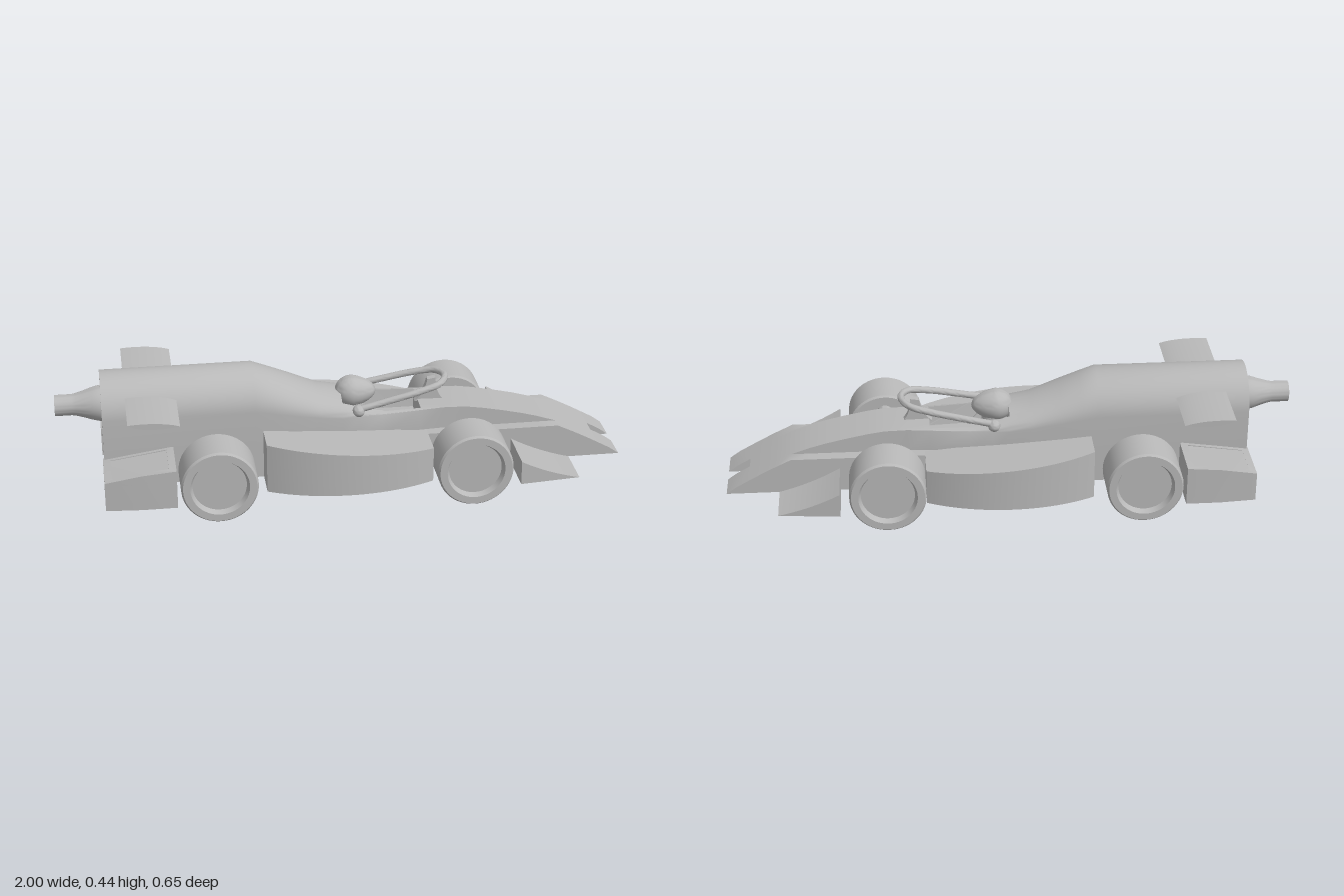
import * as THREE from 'three';
import { toCreasedNormals } from 'three/addons/utils/BufferGeometryUtils.js';

const grey = new THREE.MeshStandardMaterial({ color: 0xb8b8b8 });
grey.name = 'grey';

const HALF = 0.128, FLOOR = 0.06, SHOULDER = 0.187, GROOVE = 0.027, GROOVE_TOP = 0.11;

function add(parent, name, geo, crease = 0.5) {
  const mesh = new THREE.Mesh(toCreasedNormals(geo, crease), grey);
  mesh.name = name;
  parent.add(mesh);
}

// Mirror a geometry across z, swapping two corners to keep faces outward
function mirrored(geo) {
  const g = geo.index ? geo.toNonIndexed() : geo.clone();
  g.scale(1, 1, -1);
  const p = g.attributes.position;
  const a = new THREE.Vector3(), b = new THREE.Vector3();
  for (let i = 0; i < p.count; i += 3) {
    a.fromBufferAttribute(p, i + 1);
    b.fromBufferAttribute(p, i + 2);
    p.setXYZ(i + 1, b.x, b.y, b.z);
    p.setXYZ(i + 2, a.x, a.y, a.z);
  }
  return g;
}

function addPair(parent, name, geo, crease) {
  add(parent, name + 'Left', geo, crease);
  add(parent, name + 'Right', mirrored(geo), crease);
}

const toShape = (pts) => new THREE.Shape(pts.map(([x, y]) => new THREE.Vector2(x, y)));

// Side profile (x, y) pulled along z between an inner and an outer edge
function sideExtrude(shape, inner, outer) {
  const geo = new THREE.ExtrudeGeometry(shape, { depth: 1, bevelEnabled: false, curveSegments: 12 });
  const p = geo.attributes.position;
  for (let i = 0; i < p.count; i++) p.setZ(i, p.getZ(i) > 0.5 ? outer(p.getX(i)) : inner);
  return geo;
}

// Plan outline (x, z) raised between a bottom and a top height rule
function prism(shape, bottom, top) {
  const geo = new THREE.ExtrudeGeometry(shape, { depth: 1, bevelEnabled: false, curveSegments: 24 });
  geo.rotateX(Math.PI / 2); // outline y -> z, depth -> -y
  const p = geo.attributes.position;
  for (let i = 0; i < p.count; i++) p.setY(i, p.getY(i) < -0.5 ? bottom : top(p.getX(i)));
  return geo;
}

// Body cross-section as (z, y), with a channel along the floor
function section([, top, spring, w, cockpit]) {
  const sh = Math.min(SHOULDER, top), n = 24, arc = [];
  for (let i = 0; i <= n; i++) {
    const t = (i / n) * Math.PI, z = w * Math.cos(t);
    const y = spring + (top - spring) * Math.sin(t);
    arc.push([z, cockpit && Math.abs(z) < 0.075 ? 0.2 : y]);
  }
  return [[GROOVE, GROOVE_TOP], [GROOVE, FLOOR], [HALF, FLOOR], [HALF, sh], [w, sh], ...arc,
    [-w, sh], [-HALF, sh], [-HALF, FLOOR], [-GROOVE, FLOOR], [-GROOVE, GROOVE_TOP]];
}

function bodyGeometry(stations) {
  const pos = [], idx = [];
  const rings = stations.map(section), m = rings[0].length;
  rings.forEach((r, i) => r.forEach(([z, y]) => pos.push(stations[i][0], y, z)));
  for (let i = 0; i < rings.length - 1; i++) {
    for (let j = 0; j < m; j++) {
      const k = (j + 1) % m;
      const a = i * m + j, b = a + m, c = (i + 1) * m + k, d = i * m + k;
      idx.push(a, b, c, a, c, d);
    }
  }
  const geo = new THREE.BufferGeometry();
  geo.setAttribute('position', new THREE.Float32BufferAttribute(pos, 3));
  geo.setIndex(idx);
  return geo;
}

export function createModel() {
  const car = new THREE.Group();
  car.name = 'racingCar';
  const body = new THREE.Group();
  body.name = 'body';
  body.position.z = -0.004;
  car.add(body);

  // Main body: x, top, spring line of the arch, upper half width, cockpit cut
  const stations = [
    [-0.84, 0.44, 0.313, HALF], [-0.31, 0.44, 0.313, HALF], [-0.25, 0.416, 0.303, HALF],
    [-0.18, 0.386, 0.29, 0.127], [-0.08, 0.34, 0.272, 0.122], [0, 0.325, 0.262, 0.118],
    [0, 0.325, 0.262, 0.118, true], [0.06, 0.298, 0.262, 0.113, true],
    [0.14, 0.275, 0.262, 0.105, true], [0.28, 0.27, 0.265, 0.092, true],
    [0.28, 0.27, 0.265, 0.092], [0.36, 0.268, 0.267, 0.086], [0.44, 0.265, 0.265, 0.086],
    [0.5, 0.256, 0.256, 0.086], [0.58, 0.24, 0.24, 0.086], [0.65, 0.224, 0.224, 0.086],
    [0.7, 0.21, 0.21, 0.086], [0.77, 0.187, 0.187, 0.086], [0.83, 0.158, 0.158, 0.086],
    [0.88, 0.132, 0.132, 0.086], [0.92, 0.1101, 0.1101, 0.086],
  ];
  add(body, 'bodyShell', bodyGeometry(stations));
  const rear = new THREE.ShapeGeometry(toShape(section(stations[0])));
  rear.rotateY(-Math.PI / 2).translate(-0.84, 0, 0);
  add(body, 'rearFace', rear);

  // Twin nose tips either side of the channel
  const tip = toShape([[0.92, FLOOR], [1, FLOOR], [0.965, 0.085], [0.92, 0.11]]);
  addPair(body, 'noseTip', sideExtrude(tip, GROOVE, () => HALF));

  // Gas cartridge with a narrow neck
  const cartridge = new THREE.LatheGeometry([
    [0.063, 0.8], [0.063, 0.845], [0.057, 0.87], [0.047, 0.9], [0.04, 0.925],
    [0.037, 0.94], [0.037, 1], [0.022, 1], [0.022, 0.985], [0, 0.985],
  ].map(([r, h]) => new THREE.Vector2(r, h)), 40);
  cartridge.rotateZ(Math.PI / 2).translate(0, 0.325, 0);
  add(body, 'cartridge', cartridge);

  // Driver's helmet, drawn out towards the front
  const helmet = new THREE.SphereGeometry(1, 32, 20);
  const hp = helmet.attributes.position;
  for (let i = 0; i < hp.count; i++) {
    const x = hp.getX(i), s = x > 0 ? 1 - 0.2 * x : 1;
    hp.setXYZ(i, x > 0 ? x * 0.085 : x * 0.062, hp.getY(i) * 0.057 * s, hp.getZ(i) * 0.057 * s);
  }
  helmet.translate(0.045, 0.313, 0);
  add(body, 'helmet', helmet, 1);
  add(body, 'driverBody', new THREE.CylinderGeometry(0.04, 0.055, 0.1, 24).translate(0.05, 0.235, 0));

  // Head-protection hoop and its pillar
  const half = [[0.05, 0.285, 0.1], [0.15, 0.306, 0.094], [0.28, 0.334, 0.082], [0.35, 0.348, 0.06]];
  const path = [...half, [0.378, 0.353, 0], ...half.slice().reverse().map(([x, y, z]) => [x, y, -z])];
  const curve = new THREE.CatmullRomCurve3(path.map((p) => new THREE.Vector3(...p)));
  add(body, 'hoop', new THREE.TubeGeometry(curve, 64, 0.012, 12), 1);
  for (const s of [1, -1]) {
    add(body, 'hoopFoot', new THREE.SphereGeometry(0.022, 16, 12).translate(0.055, 0.28, s * 0.1), 1);
  }
  const pillar = new THREE.Shape();
  pillar.moveTo(0.27, 0.262);
  pillar.lineTo(0.375, 0.262);
  pillar.quadraticCurveTo(0.345, 0.29, 0.345, 0.35);
  pillar.lineTo(0.315, 0.345);
  pillar.quadraticCurveTo(0.305, 0.29, 0.27, 0.262);
  add(body, 'hoopPillar', sideExtrude(pillar, -0.012, () => 0.012));

  // Bulging side pods
  const pod = new THREE.Shape();
  pod.moveTo(-0.285, 0.1);
  pod.lineTo(0.3, 0.1);
  pod.lineTo(0.3, 0.24);
  pod.bezierCurveTo(0.12, 0.33, -0.11, 0.33, -0.285, 0.24);
  addPair(body, 'sidePod', prism(pod, FLOOR, (x) => 0.24 - 0.09 * (x + 0.285)));

  // Hollow rear pods: walls open below, closed on top
  const outline = [[-0.845, 0.115], [-0.6, 0.115], [-0.6, 0.312], [-0.72, 0.312], [-0.845, 0.302]];
  const podTop = (x) => 0.165 + 0.035 * Math.sin(((x + 0.845) / 0.245) * Math.PI / 2);
  const walls = toShape(outline);
  walls.holes.push(new THREE.Path([[-0.82, 0.145], [-0.82, 0.28], [-0.625, 0.288], [-0.625, 0.145]]
    .map(([x, z]) => new THREE.Vector2(x, z))));
  addPair(body, 'rearPodWalls', prism(walls, FLOOR, podTop));
  addPair(body, 'rearPodTop', prism(toShape(outline), 0.155, podTop));

  // Upper rear wings with a lens-shaped section
  const foil = new THREE.Shape();
  foil.moveTo(-0.758, 0.386);
  foil.bezierCurveTo(-0.72, 0.36, -0.64, 0.362, -0.582, 0.372);
  foil.bezierCurveTo(-0.62, 0.386, -0.69, 0.392, -0.758, 0.386);
  addPair(body, 'rearWing', sideExtrude(foil, 0.08, () => 0.316));

  // Front wings: wedges with a hollow curved top and slanted ends
  const wedge = new THREE.Shape();
  wedge.moveTo(0.6, FLOOR);
  wedge.lineTo(0.815, FLOOR);
  wedge.quadraticCurveTo(0.7, 0.09, 0.6, 0.147);
  addPair(body, 'frontWing', sideExtrude(wedge, 0.115, (x) => 0.31 - 0.1 * (x - 0.6)));

  // Wheels, open on the inside, with bushes, washers and axles
  const R = 0.133;
  const wheelProfile = [
    [0, 0.29], [0.103, 0.29], [0.103, 0.17], [0.127, 0.17], [R, 0.177], [R, 0.316],
    [0.127, 0.324], [0.102, 0.324], [0.093, 0.304], [0, 0.304],
  ].map(([r, h]) => new THREE.Vector2(r, h));
  const disc = (r, z0, z1) => new THREE.CylinderGeometry(r, r, z1 - z0, 28)
    .rotateX(Math.PI / 2).translate(0, 0, (z0 + z1) / 2);
  for (const [name, x] of [['rear', -0.455], ['front', 0.435]]) {
    const set = new THREE.Group();
    set.name = name + 'Wheels';
    set.position.set(x, R, 0);
    car.add(set);
    addPair(set, name + 'Wheel', new THREE.LatheGeometry(wheelProfile, 56).rotateX(Math.PI / 2));
    addPair(set, name + 'Washer', disc(0.05, 0.115, 0.138));
    addPair(set, name + 'Bush', disc(0.03, 0.152, 0.292));
    add(set, name + 'Axle', disc(0.016, -0.292, 0.292));
  }
  return car;
}
